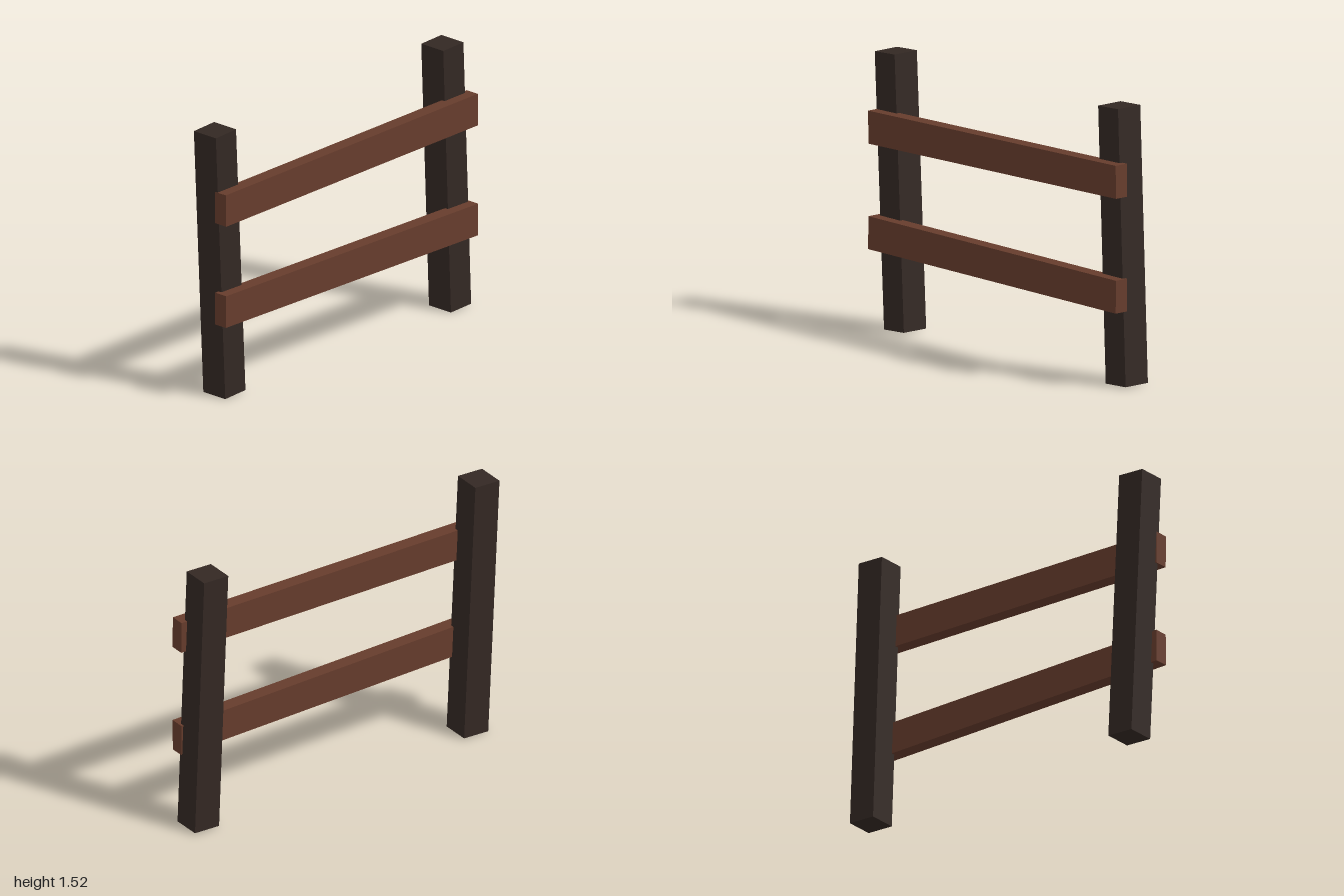
import * as THREE from 'three';

export function createModel() {
  const fence = new THREE.Group();
  fence.name = 'fence';

  const postWood = new THREE.MeshStandardMaterial({ color: 0x332823 });
  const railWood = new THREE.MeshStandardMaterial({ color: 0x663c2c });

  // A straight timber, tilted in the plane of the fence
  function addTimber(name, material, size, position, tilt) {
    const timber = new THREE.Mesh(new THREE.BoxGeometry(...size), material);
    timber.name = name;
    timber.position.set(...position);
    timber.rotation.z = tilt;
    fence.add(timber);
  }

  // Leaning square posts
  const postSize = [0.158, 1.51, 0.16];
  addTimber('rightPost', postWood, postSize, [-0.882, 0.759, -0.03], 0.049);
  addTimber('leftPost', postWood, postSize, [0.889, 0.759, -0.03], 0.04);

  // Crooked rails, let slightly into the front of the posts
  const railSize = [1.97, 0.18, 0.08];
  addTimber('upperRail', railWood, railSize, [0.002, 1.12, 0.07], 0.0145);
  addTimber('lowerRail', railWood, railSize, [0.002, 0.518, 0.07], -0.0115);

  return fence;
}
